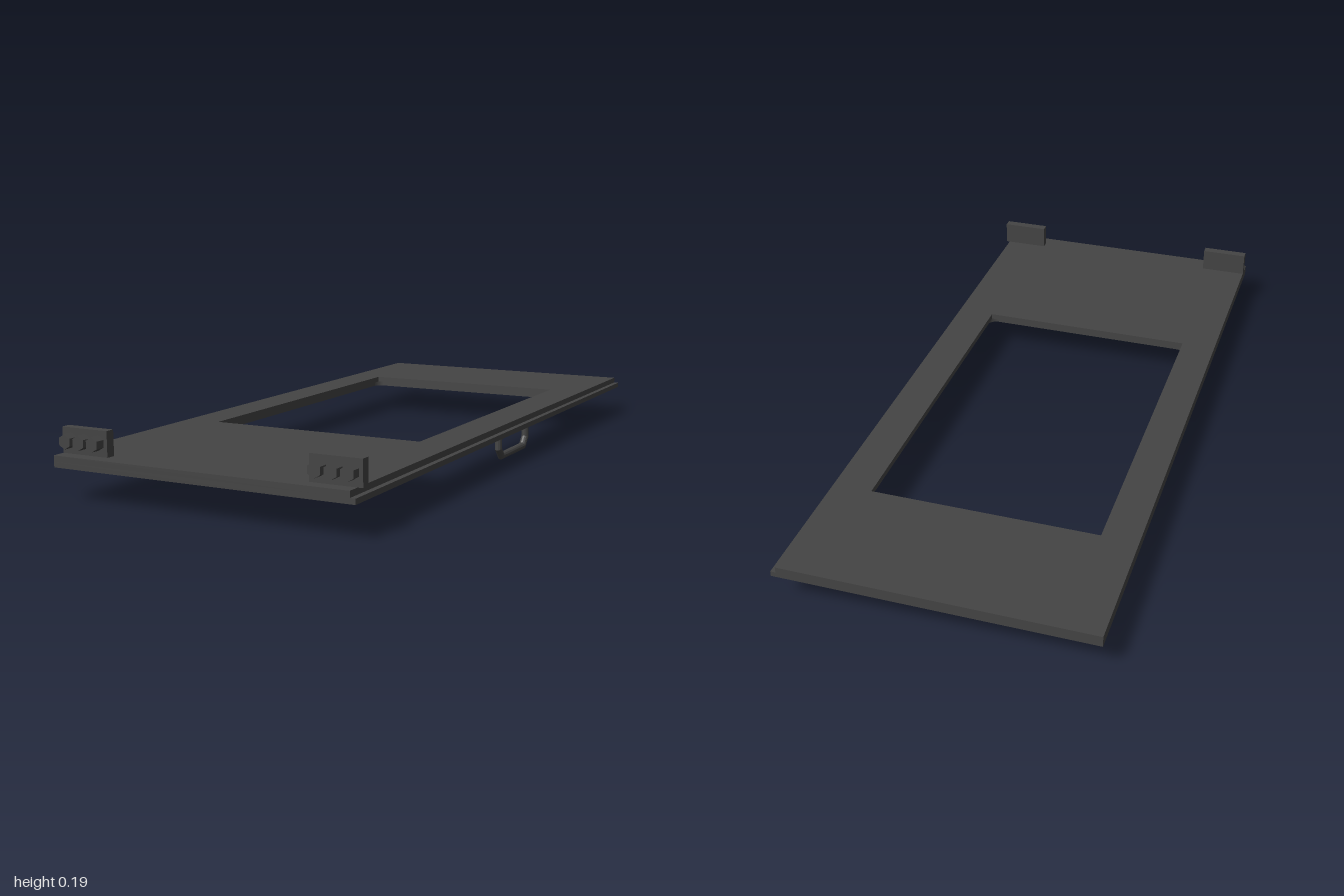
import * as THREE from 'three';

const material = new THREE.MeshStandardMaterial({ color: 0x444444, flatShading: true });

function add(parent, name, geometry, x = 0, y = 0, z = 0) {
  const mesh = new THREE.Mesh(geometry, material);
  mesh.name = name;
  mesh.position.set(x, y, z);
  parent.add(mesh);
  return mesh;
}

// Rectangle outline with optional corner radius
function rectangle(path, x0, y0, x1, y1, r = 0) {
  if (r === 0) {
    path.moveTo(x0, y0).lineTo(x1, y0).lineTo(x1, y1).lineTo(x0, y1).closePath();
    return path;
  }
  path.moveTo(x0 + r, y0).lineTo(x1 - r, y0);
  path.absarc(x1 - r, y0 + r, r, -Math.PI / 2, 0);
  path.lineTo(x1, y1 - r);
  path.absarc(x1 - r, y1 - r, r, 0, Math.PI / 2);
  path.lineTo(x0 + r, y1);
  path.absarc(x0 + r, y1 - r, r, Math.PI / 2, Math.PI);
  path.lineTo(x0, y0 + r);
  path.absarc(x0 + r, y0 + r, r, Math.PI, Math.PI * 1.5);
  return path;
}

// Flat panel layer with a window; grow widens the window on every side
function panelLayer(right, thickness, grow, radius) {
  const shape = rectangle(new THREE.Shape(), -0.445, -1, right, 1);
  shape.holes.push(rectangle(new THREE.Path(), -0.34 - grow, -0.4 - grow, 0.32 + grow, 0.63 + grow, radius));
  const geometry = new THREE.ExtrudeGeometry(shape, { depth: thickness, bevelEnabled: false, curveSegments: 8 });
  return geometry.rotateX(-Math.PI / 2);
}

// Round bar along [z, y] points with mitred corners
function bar(points, radius, sides) {
  const path = points.map(([z, y]) => new THREE.Vector2(z, y));
  const positions = [], index = [];
  path.forEach((p, i) => {
    const a = p.clone().sub(path[Math.max(i - 1, 0)]).normalize();
    const b = path[Math.min(i + 1, path.length - 1)].clone().sub(p).normalize();
    const t = a.clone().add(b).normalize();
    const stretch = 1 / t.dot(a.lengthSq() > 0 ? a : b);
    for (let s = 0; s < sides; s++) {
      const angle = ((s + 0.5) / sides) * Math.PI * 2;
      const side = Math.sin(angle) * radius * stretch;
      positions.push(Math.cos(angle) * radius, p.y + t.x * side, p.x - t.y * side);
      if (i > 0) {
        const c = i * sides + s, d = i * sides + ((s + 1) % sides);
        index.push(c - sides, c, d - sides, c, d, d - sides);
      }
    }
  });
  const geometry = new THREE.BufferGeometry();
  geometry.setAttribute('position', new THREE.Float32BufferAttribute(positions, 3));
  geometry.setIndex(index);
  geometry.computeVertexNormals();
  return geometry;
}

export function createModel() {
  const model = new THREE.Group();
  model.name = 'windowedPanel';

  // Panel: the lower layer has a side lip and a rebate around the window
  add(model, 'panelLower', panelLayer(0.445, 0.015, 0.01, 0.03), 0, 0.09, 0);
  add(model, 'panelUpper', panelLayer(0.43, 0.017, 0, 0), 0, 0.105, 0);

  // Front brackets, each with three hexagonal bolts
  for (const side of [-1, 1]) {
    const bracket = new THREE.Group();
    bracket.name = side > 0 ? 'leftBracket' : 'rightBracket';
    bracket.position.set(side * 0.3725, 0.157, 0);
    add(bracket, 'bracketPlate', new THREE.BoxGeometry(0.145, 0.07, 0.027), 0, 0, 0.949);
    for (const x of [-0.044, 0, 0.044]) {
      const bolt = new THREE.CylinderGeometry(0.02, 0.02, 0.028, 6).rotateX(Math.PI / 2);
      add(bracket, 'bolt', bolt, x, 0.001, 0.976);
    }
    model.add(bracket);
  }

  // Pull handle under the left edge
  const outline = [[0, 0.092], [0, 0.037], [-0.022, 0.011], [-0.196, 0.011], [-0.218, 0.037], [-0.218, 0.092]];
  const handle = add(model, 'handle', bar(outline, 0.011, 12), 0.389, 0, 0);
  handle.material = material.clone();
  handle.material.side = THREE.DoubleSide;

  return model;
}
